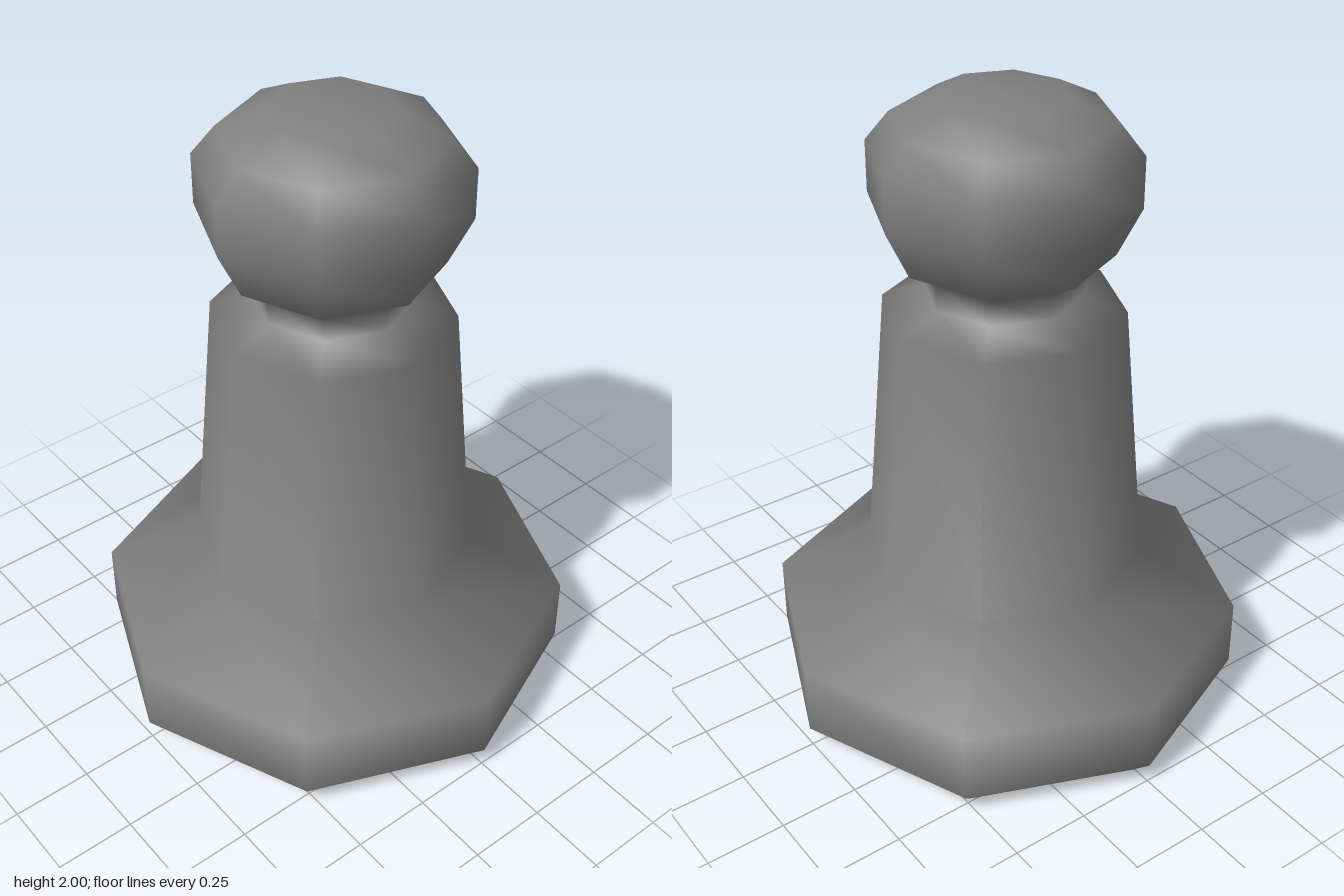
import * as THREE from 'three';
import { mergeVertices } from 'three/addons/utils/BufferGeometryUtils.js';

const SIDES = 8;

// Profile as [radius, height], from the underside to the crown
const profile = [
  // foot with bevelled rim and sloping shoulder
  [0, 0], [0.69, 0], [0.757, 0.068], [0.757, 0.293], [0.445, 0.485],
  // tapering body and narrow neck
  [0.37, 1.345], [0.24, 1.395], [0.24, 1.475],
  // faceted round head
  [0.33, 1.53], [0.402, 1.68], [0.402, 1.84], [0.33, 1.93], [0.195, 2], [0, 2],
];

// Smooth normals, kept free of sideways twist so every side shades alike
function smoothRadially(geometry) {
  geometry.computeVertexNormals();
  const { position, normal } = geometry.attributes;
  const n = new THREE.Vector3();
  const out = new THREE.Vector3();
  for (let i = 0; i < position.count; i++) {
    n.fromBufferAttribute(normal, i);
    out.fromBufferAttribute(position, i).setY(0).normalize();
    out.multiplyScalar(n.dot(out)).setY(n.y).normalize();
    normal.setXYZ(i, out.x, out.y, out.z);
  }
}

export function createModel() {
  const group = new THREE.Group();
  group.name = 'pawn';

  const lathe = new THREE.LatheGeometry(profile.map(([r, y]) => new THREE.Vector2(r, y)), SIDES);

  // Weld the seam and poles so the shading runs over the whole piece
  lathe.deleteAttribute('uv');
  lathe.deleteAttribute('normal');
  const geometry = mergeVertices(lathe, 1e-4);
  smoothRadially(geometry);

  const piece = new THREE.Mesh(geometry, new THREE.MeshStandardMaterial({ color: 0x808080 }));
  piece.name = 'pawnBody';
  group.add(piece);
  return group;
}
